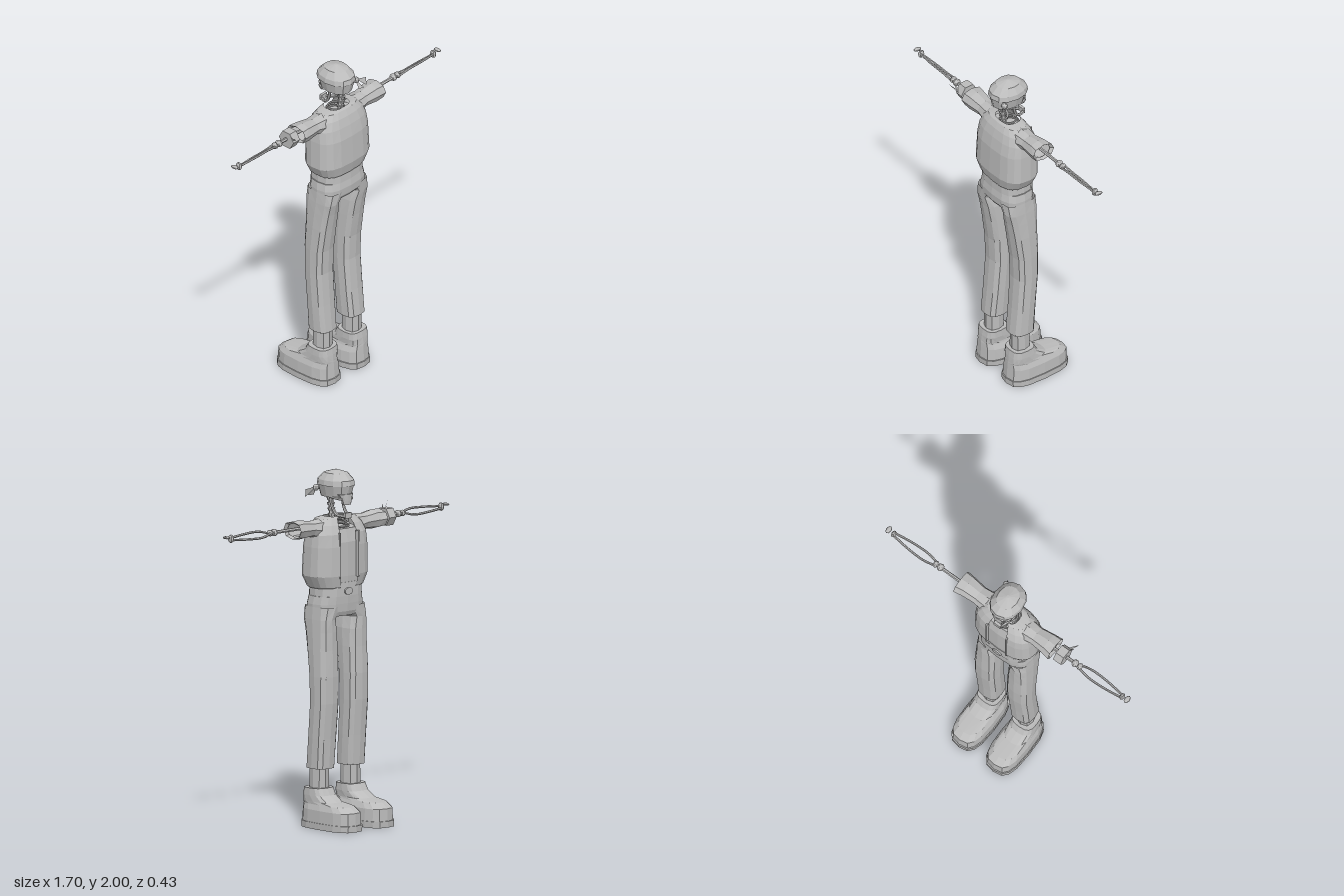
import * as THREE from 'three';

const grey = new THREE.MeshStandardMaterial({ color: 0xbcbcbc, flatShading: true, side: THREE.DoubleSide });
grey.name = 'plain grey';
const V = (x, y, z) => new THREE.Vector3(x, y, z);

function add(parent, name, geometry) {
  const mesh = new THREE.Mesh(geometry, grey);
  mesh.name = name;
  parent.add(mesh);
  return mesh;
}

// Rounded cross-sections [y, x0, x1, z0, z1], stacked upwards; gap opens the -z side
function loft(sections, { sides = 12, power = 0.75, gap = 0, bottom = true, top = true } = {}) {
  const pos = [], idx = [], row = sides + 1;
  const bend = v => Math.sign(v) * Math.abs(v) ** power;
  for (const [y, x0, x1, z0, z1] of sections) {
    for (let j = 0; j <= sides; j++) {
      const a = -Math.PI / 2 + gap + (j / sides) * (Math.PI * 2 - 2 * gap);
      pos.push((x0 + x1) / 2 + (x1 - x0) / 2 * bend(Math.cos(a)), y,
        (z0 + z1) / 2 + (z1 - z0) / 2 * bend(Math.sin(a)));
    }
  }
  for (let i = 0; i < sections.length - 1; i++) {
    for (let j = 0; j < sides; j++) {
      const a = i * row + j, b = a + 1, c = a + row, d = c + 1;
      idx.push(a, c, b, b, c, d);
    }
  }
  const last = (sections.length - 1) * row;
  for (let j = 1; j < sides - 1; j++) {
    if (bottom) idx.push(0, j, j + 1);
    if (top) idx.push(last, last + j + 1, last + j);
  }
  const g = new THREE.BufferGeometry();
  g.setAttribute('position', new THREE.Float32BufferAttribute(pos, 3));
  g.setIndex(idx);
  g.computeVertexNormals();
  return g;
}

// Cross-sections [x, y0, y1, z0, z1], stacked along +x
const sideLoft = (sections, options) =>
  loft(sections.map(([x, y0, y1, z0, z1]) => [x, -y1, -y0, z0, z1]), options).rotateZ(-Math.PI / 2);

const tube = (points, r, sides = 6) =>
  new THREE.TubeGeometry(new THREE.CatmullRomCurve3(points), 10, r, sides);

function box(parent, name, w, h, d, x, y, z) {
  add(parent, name, new THREE.BoxGeometry(w, h, d)).position.set(x, y, z);
}

function knob(parent, name, x, y, z, rx, ry, rz) {
  const m = add(parent, name, new THREE.SphereGeometry(1, 8, 6));
  m.position.set(x, y, z);
  m.scale.set(rx, ry, rz);
}

// Thin pointed cloth end
function clothTail(parent, name, a, b, c) {
  const g = new THREE.BufferGeometry().setFromPoints([a, b, c]);
  g.computeVertexNormals();
  add(parent, name, g);
}

function makeLeg() {
  const leg = new THREE.Group();
  add(leg, 'trouserLeg', loft([
    [0.33, 0.045, 0.185, 0.015, 0.16], [0.5, 0.04, 0.187, 0.005, 0.143],
    [0.7, 0.037, 0.187, -0.012, 0.128], [0.85, 0.037, 0.187, -0.015, 0.135],
    [1.0, 0.04, 0.183, -0.01, 0.157], [1.1, 0.045, 0.178, -0.01, 0.175],
    [1.17, 0.06, 0.174, -0.01, 0.192], [1.24, 0.01, 0.169, -0.012, 0.198]], { power: 0.7, top: false }));
  add(leg, 'ankle', loft([[0.2, 0.07, 0.168, 0.04, 0.145], [0.36, 0.072, 0.165, 0.04, 0.145]], { sides: 8 }));
  add(leg, 'bootSole', loft([[0, 0.022, 0.22, -0.213, 0.188], [0.036, 0.02, 0.22, -0.215, 0.19]],
    { sides: 16, power: 0.65 }));
  add(leg, 'bootUpper', loft([
    [0.036, 0.026, 0.215, -0.208, 0.184], [0.105, 0.03, 0.212, -0.206, 0.18],
    [0.135, 0.045, 0.2, -0.165, 0.178], [0.148, 0.05, 0.198, -0.06, 0.176],
    [0.182, 0.048, 0.197, 0, 0.172], [0.222, 0.05, 0.193, 0.022, 0.165],
    [0.22, 0.064, 0.178, 0.036, 0.152]], { sides: 16, power: 0.65 }));
  return leg;
}

function makeArm() {
  const arm = new THREE.Group(), y = 1.695, z = 0.083;
  // Flared sleeve with an open cuff
  add(arm, 'sleeve', sideLoft([
    [0.08, 1.6, 1.738, 0.02, 0.155], [0.15, 1.62, 1.733, 0.025, 0.15], [0.2, 1.64, 1.728, 0.03, 0.143],
    [0.28, 1.633, 1.742, 0.022, 0.153], [0.33, 1.64, 1.74, 0.012, 0.157],
    [0.315, 1.652, 1.728, 0.03, 0.14]], { sides: 8, power: 0.9, bottom: false, top: false }));
  // Upper arm bone and elbow
  add(arm, 'upperArmBone', tube([V(0.15, y, z), V(0.47, y, z)], 0.01));
  knob(arm, 'elbow', 0.47, y, z, 0.02, 0.02, 0.024);
  knob(arm, 'forearmHead', 0.502, y, z, 0.016, 0.018, 0.022);
  // Pair of bowed forearm bones
  for (const s of [-1, 1]) {
    add(arm, 'forearmBone', tube([V(0.49, y - s * 0.006, z + s * 0.009), V(0.57, y + s * 0.014, z + s * 0.02),
      V(0.67, y + s * 0.013, z + s * 0.019), V(0.8, y + s * 0.005, z + s * 0.006)], 0.007));
  }
  knob(arm, 'wrist', 0.797, y + 0.002, z, 0.014, 0.024, 0.02);
  knob(arm, 'hand', 0.832, y + 0.012, z, 0.016, 0.008, 0.025);
  return arm;
}

function makeHead() {
  const head = new THREE.Group();
  head.name = 'head';
  add(head, 'bandanaBand', loft([[1.85, -0.07, 0.07, -0.01, 0.18], [1.92, -0.087, 0.087, -0.028, 0.197]],
    { power: 0.9 }));
  add(head, 'bandanaCrown', loft([
    [1.915, -0.092, 0.092, -0.033, 0.2], [1.945, -0.088, 0.088, -0.028, 0.195],
    [1.983, -0.06, 0.06, 0.012, 0.155], [2.0, -0.008, 0.008, 0.075, 0.092]], { power: 0.9 }));
  // Knot and loose ends
  knob(head, 'bandanaKnot', 0.075, 1.895, 0.165, 0.02, 0.018, 0.018);
  clothTail(head, 'bandanaTail', V(0.075, 1.9, 0.165), V(0.14, 1.89, 0.18), V(0.135, 1.845, 0.19));
  clothTail(head, 'bandanaTail', V(0.07, 1.9, 0.165), V(0.1, 1.85, 0.205), V(0.07, 1.85, 0.19));
  // Skull face with upper teeth
  add(head, 'skullFace', loft([[1.81, -0.028, 0.028, -0.018, 0.008], [1.835, -0.034, 0.034, -0.02, 0.015],
    [1.87, -0.055, 0.055, -0.02, 0.05]], { sides: 10 }));
  for (const s of [-1, 1]) {
    add(head, 'cheekBone', tube([V(s * 0.035, 1.842, -0.008), V(s * 0.058, 1.85, 0.03), V(s * 0.055, 1.856, 0.085)], 0.008));
    add(head, 'jawBranch', tube([V(s * 0.045, 1.85, 0.08), V(s * 0.042, 1.79, 0.066),
      V(s * 0.036, 1.752, 0.035), V(s * 0.018, 1.745, -0.012)], 0.009));
  }
  box(head, 'chin', 0.045, 0.032, 0.016, 0, 1.75, -0.012);
  // Neck bones
  add(head, 'neck', tube([V(0, 1.5, 0.12), V(0, 1.72, 0.115), V(0, 1.87, 0.13)], 0.016));
  for (let i = 0; i < 4; i++) {
    const m = add(head, 'neckBone', new THREE.CylinderGeometry(0.022, 0.018, 0.016, 8));
    m.position.set(0, 1.74 + i * 0.03, 0.117 + i * 0.004);
  }
  return head;
}

export function createModel() {
  const model = new THREE.Group();
  model.name = 'skeletonFigure';

  for (const s of [1, -1]) {
    for (const [name, limb] of [['Leg', makeLeg()], ['Arm', makeArm()]]) {
      limb.name = (s > 0 ? 'left' : 'right') + name;
      limb.scale.x = s;
      model.add(limb);
    }
  }

  // Trouser seat, waistband and buckle
  add(model, 'trouserSeat', loft([
    [1.185, -0.15, 0.15, 0.0, 0.18], [1.21, -0.168, 0.168, -0.01, 0.197], [1.255, -0.168, 0.168, -0.014, 0.2],
    [1.3, -0.16, 0.16, -0.016, 0.192]], { sides: 16, power: 0.7 }));
  add(model, 'waistband', loft([[1.298, -0.155, 0.155, -0.018, 0.196], [1.375, -0.152, 0.152, -0.016, 0.192]],
    { sides: 16, power: 0.7 }));
  const buckle = add(model, 'buckle', new THREE.CylinderGeometry(0.02, 0.02, 0.009, 12).rotateX(Math.PI / 2));
  buckle.scale.x = 1.5;
  buckle.position.set(0, 1.325, -0.021);

  // Shirt inside the open jacket
  add(model, 'shirt', loft([
    [1.35, -0.15, 0.15, -0.012, 0.185], [1.41, -0.175, 0.175, -0.016, 0.19],
    [1.6, -0.172, 0.172, -0.014, 0.18], [1.675, -0.13, 0.13, 0.004, 0.16]], { sides: 16, power: 0.7 }));
  add(model, 'jacket', loft([
    [1.345, -0.16, 0.16, -0.012, 0.195], [1.352, -0.168, 0.168, -0.018, 0.2], [1.415, -0.2, 0.2, -0.03, 0.215],
    [1.58, -0.195, 0.195, -0.03, 0.207], [1.65, -0.188, 0.188, -0.022, 0.192], [1.7, -0.165, 0.165, 0.0, 0.175],
    [1.733, -0.13, 0.13, 0.022, 0.155], [1.742, -0.075, 0.075, 0.03, 0.14]],
  { sides: 18, power: 0.7, gap: 0.22, bottom: false, top: false }));
  // Inner edges of the jacket fronts
  for (const s of [-1, 1]) box(model, 'jacketEdge', 0.008, 0.26, 0.022, s * 0.069, 1.53, -0.019);

  // Upper ribs showing at the neckline
  for (let i = 0; i < 3; i++) {
    const rib = add(model, 'rib', new THREE.TorusGeometry(0.045 + i * 0.012, 0.006, 6, 14).rotateX(Math.PI / 2));
    rib.position.set(0, 1.725 - i * 0.02, 0.08);
  }

  model.add(makeHead());

  // Knotted band on the right arm
  const band = new THREE.Group();
  band.name = 'armBand';
  add(band, 'armBandRing', new THREE.CylinderGeometry(0.055, 0.055, 0.053, 6).rotateZ(Math.PI / 2))
    .position.set(-0.382, 1.69, 0.083);
  clothTail(band, 'armBandTail', V(-0.4, 1.71, 0.125), V(-0.39, 1.69, 0.13), V(-0.452, 1.765, 0.145));
  clothTail(band, 'armBandTail', V(-0.4, 1.7, 0.125), V(-0.38, 1.69, 0.13), V(-0.435, 1.745, 0.17));
  model.add(band);

  return model;
}
